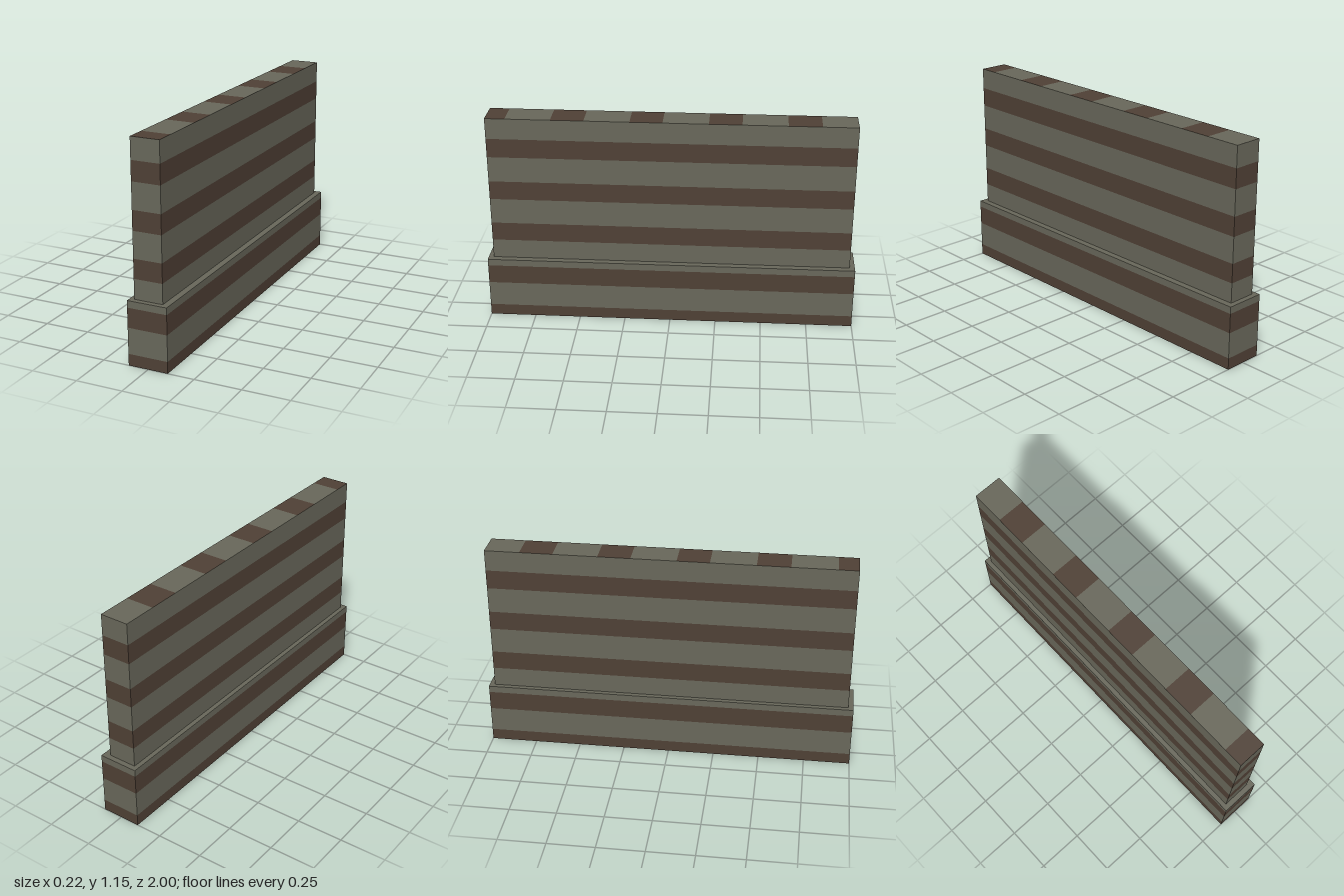
import * as THREE from 'three';
import { mergeGeometries } from 'three/addons/utils/BufferGeometryUtils.js';

const stone = new THREE.MeshStandardMaterial({ color: 0x68675a });
stone.name = 'greyGreenStone';
const brown = new THREE.MeshStandardMaterial({ color: 0x4f4035 });
brown.name = 'brownStripe';

// Brown bands: heights on the walls, and depths on the top and underside
const wallStripes = [[-0.04, 0.062], [0.201, 0.306], [0.449, 0.552], [0.693, 0.797], [0.937, 1.041]];
const capStripes = [[-0.785, -0.61], [-0.373, -0.2], [0.04, 0.212], [0.452, 0.627], [0.866, 1.04]];

// Cuts a range into alternating stone and brown pieces
function splitRange(lo, hi, stripes) {
  const pieces = [];
  let at = lo;
  for (const [a, b] of stripes) {
    const start = Math.max(a, lo), end = Math.min(b, hi);
    if (end <= start) continue;
    if (start > at) pieces.push([at, start, stone]);
    pieces.push([start, end, brown]);
    at = end;
  }
  if (at < hi) pieces.push([at, hi, stone]);
  return pieces;
}

// Four upright faces around a block between two heights
function ring(cx, w, d, y0, y1) {
  const faces = [0, 1, 2, 3].map((i) => {
    const across = i % 2 ? d : w, out = i % 2 ? w : d;
    return new THREE.PlaneGeometry(across, y1 - y0)
      .translate(0, 0, out / 2).rotateY(i * Math.PI / 2);
  });
  return mergeGeometries(faces).translate(cx, (y0 + y1) / 2, 0);
}

function addMesh(group, name, geometry, material) {
  const mesh = new THREE.Mesh(geometry, material);
  mesh.name = name;
  group.add(mesh);
}

function addSides(group, cx, w, d, y0, y1) {
  for (const [a, b, mat] of splitRange(y0, y1, wallStripes))
    addMesh(group, 'sideBand', ring(cx, w, d, a, b), mat);
}

// Flat striped face, turned up or down
function addCap(group, name, cx, w, d, y, up) {
  for (const [a, b, mat] of splitRange(-d / 2, d / 2, capStripes)) {
    const g = new THREE.PlaneGeometry(w, b - a).rotateX(up ? -Math.PI / 2 : Math.PI / 2);
    addMesh(group, name, g.translate(cx, y, (a + b) / 2), mat);
  }
}

export function createModel() {
  const model = new THREE.Group();
  model.name = 'stripedWall';
  const baseTop = 0.343, top = 1.155;
  const baseW = 0.216, baseD = 2, wallW = 0.156, wallD = 1.944, wallX = -0.005;

  // Wide plinth
  const base = new THREE.Group();
  base.name = 'base';
  addSides(base, 0, baseW, baseD, 0, baseTop);
  addCap(base, 'underside', 0, baseW, baseD, 0, false);

  // Plain ledge around the foot of the wall
  const rect = (cx, w, d) => [[-1, -1], [1, -1], [1, 1], [-1, 1]]
    .map(([x, z]) => new THREE.Vector2(cx + x * w / 2, z * d / 2));
  const ledge = new THREE.Shape(rect(0, baseW, baseD));
  ledge.holes.push(new THREE.Path(rect(wallX, wallW, wallD)));
  const ledgeGeometry = new THREE.ShapeGeometry(ledge).rotateX(-Math.PI / 2).translate(0, baseTop, 0);
  addMesh(base, 'ledge', ledgeGeometry, stone);

  // Thin upright wall
  const wall = new THREE.Group();
  wall.name = 'wall';
  addSides(wall, wallX, wallW, wallD, baseTop, top);
  addCap(wall, 'wallTop', wallX, wallW, wallD, top, true);

  model.add(base, wall);
  return model;
}
